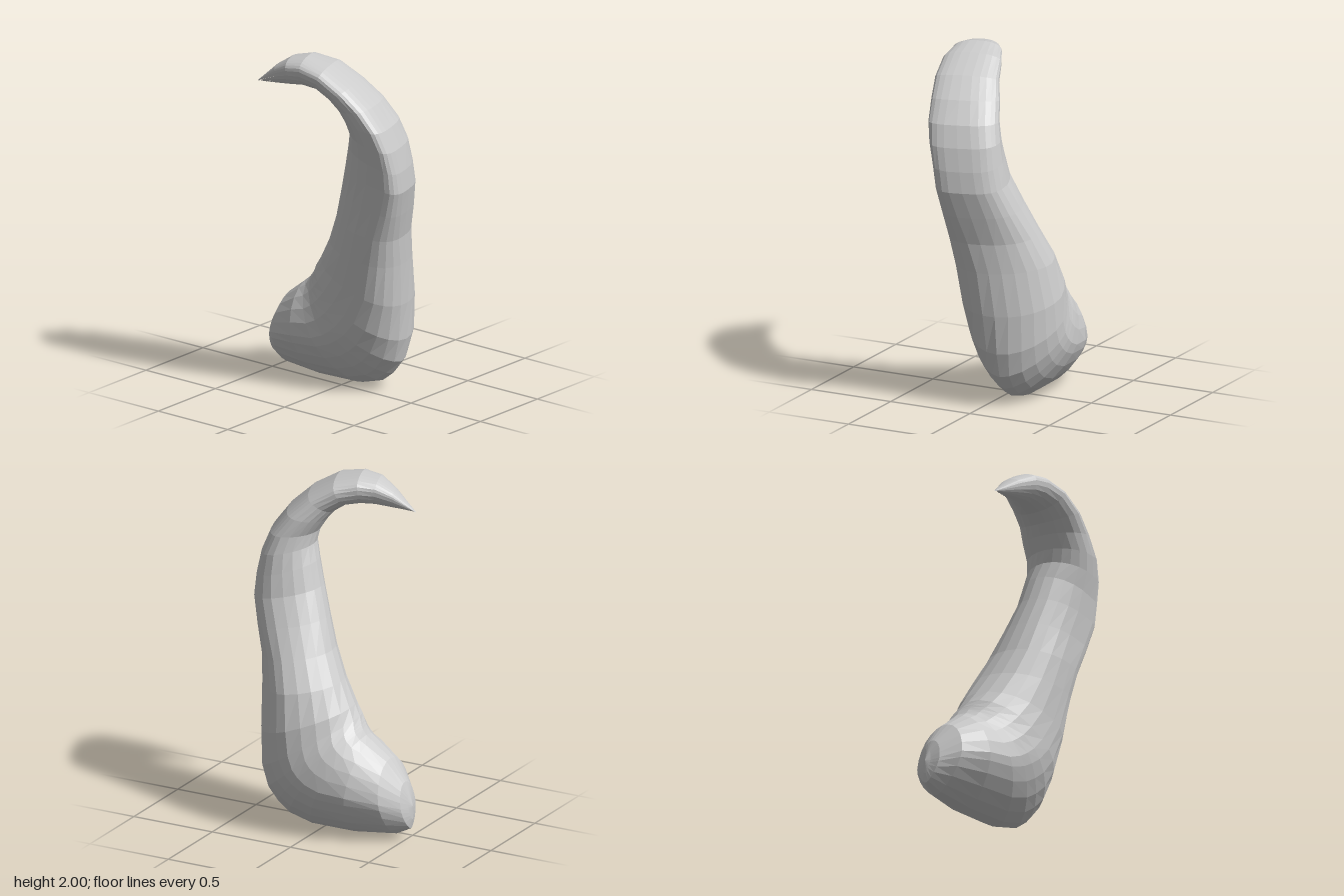
import * as THREE from 'three';

// Cross-sections from the foot to the tip:
// outer z, outer y, inner z, inner y, centre x, half width
const SECTIONS = [
  [-0.54, 0.13, -0.515, 0.28, 0.07, 0.03],
  [-0.53, 0.075, -0.49, 0.345, 0.07, 0.085],
  [-0.44, 0.03, -0.40, 0.47, 0.075, 0.178],
  [-0.20, 0.005, -0.29, 0.56, 0.09, 0.242],
  [0.07, 0.01, -0.26, 0.59, 0.10, 0.258],
  [0.21, 0.05, -0.24, 0.62, 0.105, 0.263],
  [0.285, 0.108, -0.23, 0.635, 0.105, 0.266],
  [0.345, 0.19, -0.22, 0.65, 0.105, 0.267],
  [0.38, 0.33, -0.20, 0.68, 0.105, 0.267],
  [0.395, 0.55, -0.16, 0.74, 0.10, 0.267],
  [0.41, 0.80, -0.08, 0.87, 0.07, 0.255],
  [0.43, 0.97, 0.00, 1.03, 0.03, 0.23],
  [0.475, 1.13, 0.06, 1.20, -0.005, 0.203],
  [0.517, 1.28, 0.115, 1.36, -0.04, 0.183],
  [0.512, 1.40, 0.155, 1.50, -0.06, 0.18],
  [0.492, 1.53, 0.185, 1.59, -0.083, 0.185],
  [0.45, 1.65, 0.175, 1.66, -0.11, 0.185],
  [0.365, 1.77, 0.13, 1.73, -0.14, 0.18],
  [0.25, 1.88, 0.09, 1.78, -0.18, 0.17],
  [0.10, 1.97, 0.03, 1.82, -0.21, 0.158],
  [-0.04, 2.00, -0.05, 1.83, -0.24, 0.132],
  [-0.14, 1.98, -0.12, 1.825, -0.268, 0.105],
  [-0.23, 1.92, -0.21, 1.815, -0.282, 0.064],
  [-0.36, 1.80, -0.36, 1.80, -0.295, 0],
];
const SIDES = 24;
const { smoothstep } = THREE.MathUtils;

// One ring: its outer half is pointed under the foot and squarish along the
// upper front; going up it turns sideways and is widest nearer its outer edge
function ring([oz, oy, iz, iy, cx, hw]) {
  const mid = (oy + iy) / 2;
  const skew = -0.3 * smoothstep(mid, 0.3, 0.8);
  const widest = 0.5 + 0.1 * smoothstep(mid, 0.3, 0.7) + 0.06 * smoothstep(mid, 0.9, 1.4);
  const lean = -0.05 * smoothstep(mid, 0.3, 0.6) * (1 - smoothstep(mid, 1.6, 1.9));
  const outer = 1.5 + 0.55 * smoothstep(oy, 0, 0.5)
    + 0.95 * smoothstep(oy, 0.8, 1.25) - 0.7 * smoothstep(oy, 1.5, 1.9);
  return Array.from({ length: SIDES }, (_, j) => {
    const t = (j / SIDES) * Math.PI * 2;
    const front = Math.cos(t) > 0;
    const power = 2 / (front ? outer : 2);
    const bend = (v) => Math.sign(v) * Math.abs(v) ** power;
    const a = bend(Math.cos(t)), b = bend(Math.sin(t)) * hw;
    const along = widest + a * (front ? 1 - widest : widest);
    return [
      cx + b + (front ? 0 : -a * lean),
      iy + along * (oy - iy),
      iz + along * (oz - iz) + b * skew,
    ];
  });
}

// Skin the rings and close the foot with a fan
function loft(sections) {
  const positions = sections.flatMap((s) => ring(s).flat());
  const index = [];
  for (let i = 0; i < sections.length - 1; i++) {
    for (let j = 0; j < SIDES; j++) {
      const k = (j + 1) % SIDES;
      const a = i * SIDES + j, b = i * SIDES + k, c = b + SIDES, d = a + SIDES;
      index.push(a, b, c);
      if (i < sections.length - 2) index.push(a, c, d);
    }
  }
  const apex = positions.length / 3;
  positions.push(sections[0][4], 0.21, -0.54);
  for (let j = 0; j < SIDES; j++) index.push(apex, (j + 1) % SIDES, j);

  const geometry = new THREE.BufferGeometry();
  geometry.setAttribute('position', new THREE.Float32BufferAttribute(positions, 3));
  geometry.setIndex(index);
  geometry.computeVertexNormals();
  return geometry;
}

export function createModel() {
  const group = new THREE.Group();
  group.name = 'curvedHorn';
  const material = new THREE.MeshStandardMaterial({ color: 0xcccccc, flatShading: true });
  const horn = new THREE.Mesh(loft(SECTIONS), material);
  horn.name = 'horn';
  group.add(horn);
  return group;
}
